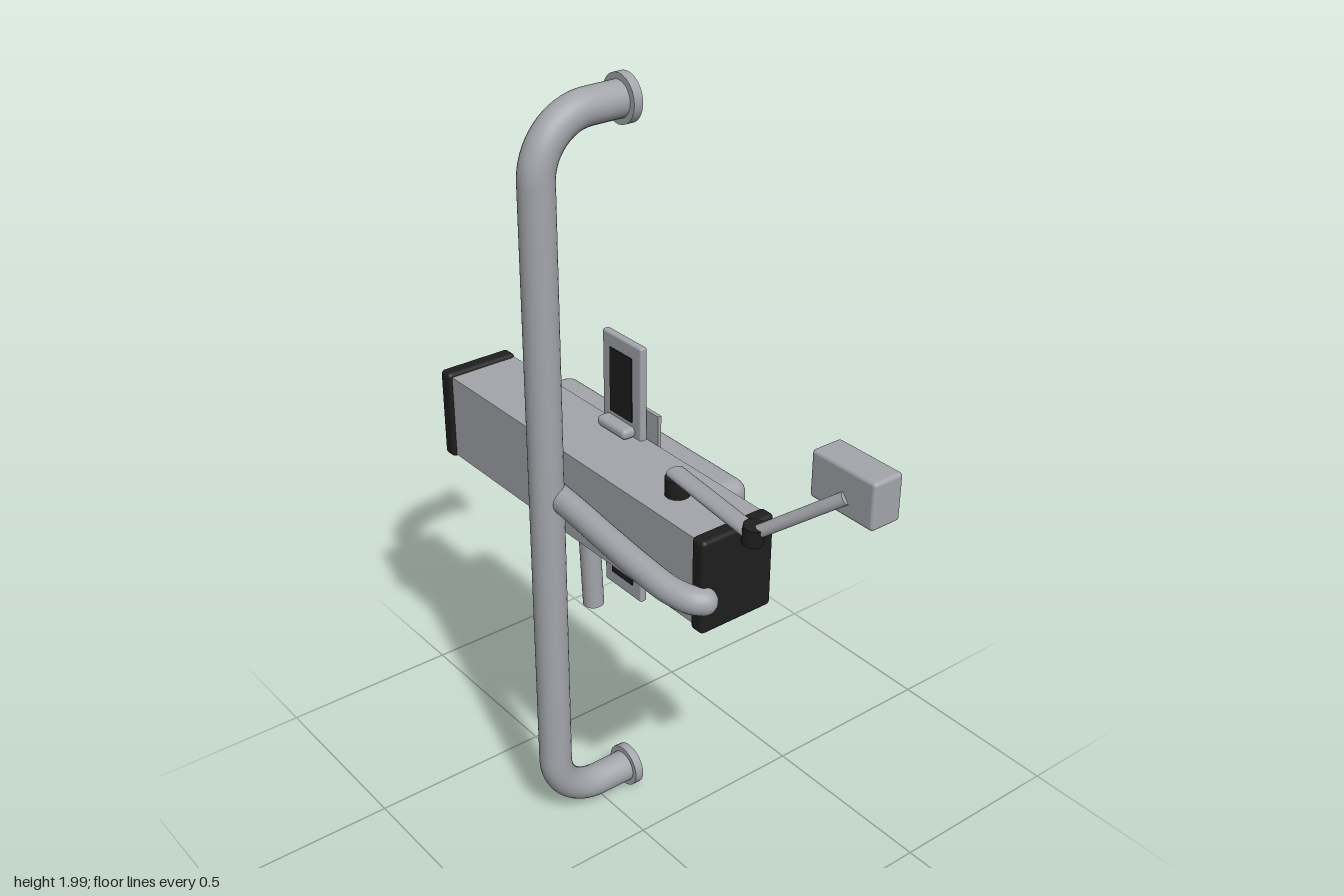
import * as THREE from 'three';
import { RoundedBoxGeometry } from 'three/addons/geometries/RoundedBoxGeometry.js';

const V = (x, y, z) => new THREE.Vector3(x, y, z);

export function createModel() {
  const group = new THREE.Group();
  const grey = new THREE.MeshStandardMaterial({ name: 'grey metal', color: 0xa3a5ab });
  const black = new THREE.MeshStandardMaterial({ name: 'black plastic', color: 0x1e1e1f });

  const add = (name, geometry, material = grey) => {
    const mesh = new THREE.Mesh(geometry, material);
    mesh.name = name;
    group.add(mesh);
    return mesh;
  };
  // Box given by its minimum and maximum corners, with optional rounded edges
  const box = (name, [x0, y0, z0], [x1, y1, z1], material = grey, round = 0) => {
    const size = [x1 - x0, y1 - y0, z1 - z0];
    const geometry = round ? new RoundedBoxGeometry(...size, 4, round) : new THREE.BoxGeometry(...size);
    const mesh = add(name, geometry, material);
    mesh.position.set((x0 + x1) / 2, (y0 + y1) / 2, (z0 + z1) / 2);
    return mesh;
  };
  // Round rod between two points
  const rod = (name, a, b, radius, material = grey) => {
    const mesh = add(name, new THREE.CylinderGeometry(radius, radius, a.distanceTo(b), 24), material);
    mesh.position.copy(a).lerp(b, 0.5);
    mesh.quaternion.setFromUnitVectors(V(0, 1, 0), b.clone().sub(a).normalize());
    return mesh;
  };

  // Tall pole, bent back to the wall at both ends
  const px = -0.19, pz = 0.145, low = 0.063, high = 1.937, bend = 0.14, k = 0.063;
  const pole = new THREE.CurvePath();
  pole.add(new THREE.LineCurve3(V(px, low, -0.09), V(px, low, pz - bend)));
  pole.add(new THREE.CubicBezierCurve3(V(px, low, pz - bend), V(px, low, pz - k),
    V(px, low + k, pz), V(px, low + bend, pz)));
  pole.add(new THREE.LineCurve3(V(px, low + bend, pz), V(px, high - bend, pz)));
  pole.add(new THREE.CubicBezierCurve3(V(px, high - bend, pz), V(px, high - k, pz),
    V(px, high, pz - k), V(px, high, pz - bend)));
  pole.add(new THREE.LineCurve3(V(px, high, pz - bend), V(px, high, -0.09)));
  add('pole', new THREE.TubeGeometry(pole, 160, 0.043, 28));
  for (const y of [low, high]) rod('poleFlange', V(px, y, -0.103), V(px, y, -0.079), 0.058);

  // Horizontal housing with dark end caps
  box('housing', [-0.69, 0.888, -0.1], [0.315, 1.115, 0.094]);
  for (const x of [-0.72, 0.302]) {
    box('endCap', [x, 0.88, -0.103], [x + 0.043, 1.125, 0.104], black, 0.012);
  }

  // Back cushion on its mounting plate
  box('cushionPlate', [-0.6, 0.92, -0.11], [0.225, 1.08, -0.095]);
  box('cushion', [-0.545, 0.9, -0.19], [0.17, 1.1, -0.09], grey, 0.038);

  // Upright plate with dark panels, clamp bars and a hinge
  box('uprightPlate', [-0.262, 0.645, -0.1], [-0.112, 1.36, -0.08], grey, 0.006);
  for (const side of [-1, 1]) {
    const y = 1.003 + side * 0.235;
    box('darkPanel', [-0.23, y - 0.085, -0.082], [-0.145, y + 0.085, -0.077], black);
    const c = 1.003 + side * 0.127;
    box('clampBar', [-0.245, c - 0.014, -0.085], [-0.133, c + 0.014, -0.045], grey, 0.012);
  }
  box('hingeLeaf', [-0.19, 0.815, -0.113], [-0.075, 1.19, -0.103]);
  rod('hingePin', V(px, 0.79, -0.108), V(px, 1.215, -0.108), 0.017);
  for (const y of [0.84, 1.16]) rod('hingeKnuckle', V(px, y - 0.025, -0.108), V(px, y + 0.025, -0.108), 0.021);

  // Short slanted post under the housing
  rod('lowerPost', V(px, 0.645, 0.012), V(px, 0.92, 0.024), 0.027);

  // Curved grab handle along the front
  const grip = new THREE.CatmullRomCurve3([
    V(-0.19, 1.007, 0.12), V(-0.08, 1.005, 0.128), V(0.06, 1.0, 0.139), V(0.19, 0.99, 0.142),
    V(0.275, 0.981, 0.137), V(0.33, 0.976, 0.118), V(0.345, 0.974, 0.1),
  ]);
  add('handle', new THREE.TubeGeometry(grip, 64, 0.033, 20));
  add('handleEnd', new THREE.SphereGeometry(0.033, 20, 14)).position.set(0.345, 0.974, 0.1);

  // Jointed arm carrying a small box
  const base = V(0.132, 1.168, 0.004), elbow = V(0.455, 1.19, 0.06), tip = V(0.635, 1.332, -0.025);
  rod('armBase', V(0.132, 1.11, 0.004), V(0.132, 1.16, 0.004), 0.03, black);
  const lower = rod('lowerArm', base.clone().add(V(-0.012, -0.001, -0.002)), elbow, 0.024);
  lower.scale.z = 0.58;
  lower.quaternion.setFromRotationMatrix(new THREE.Matrix4().makeBasis(
    ...(() => {
      const along = elbow.clone().sub(base).normalize();
      const across = V(0, 1, 0).cross(along).normalize();
      return [across, along, across.clone().cross(along)];
    })()));
  rod('elbowJoint', V(0.452, 1.168, 0.06), V(0.458, 1.212, 0.06), 0.025, black);
  rod('upperArm', elbow, tip, 0.015);
  box('armBox', [0.53, 1.287, -0.103], [0.715, 1.4, -0.023], grey, 0.009);

  return group;
}
